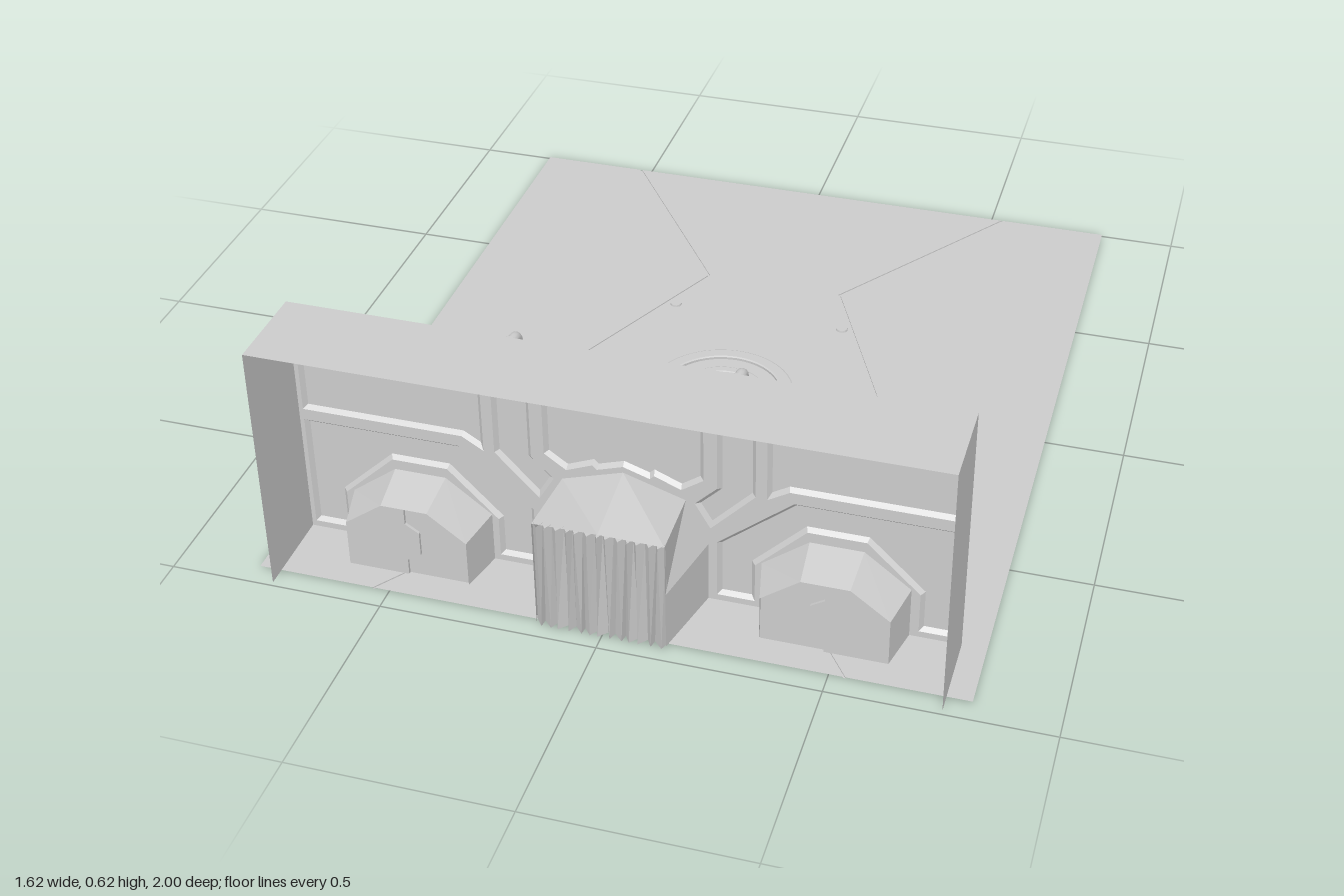
import * as THREE from 'three';

const mat = new THREE.MeshStandardMaterial({ color: 0xcccccc, side: THREE.DoubleSide, flatShading: true });
const smooth = new THREE.MeshStandardMaterial({ color: 0xcccccc });
const BACK = 0.787, PANEL = 0.777, FLOOR = 0.005;

const flipX = (pts) => pts.map(([x, y]) => [-x, y]);
const vec2 = (pts) => pts.map(([x, y]) => new THREE.Vector2(x, y));
// Closes a half outline (running from the left to x = 0) by mirroring it
const mirrored = (half) => [...half, ...flipX(half).reverse().filter(([x]) => x !== 0)];

// Ribbon of quads between two matching 3D polylines
function loft(a, b, closed = false) {
  const pos = [];
  const n = a.length;
  for (let i = 0; i < (closed ? n : n - 1); i++) {
    const j = (i + 1) % n;
    pos.push(...a[i], ...a[j], ...b[j], ...a[i], ...b[j], ...b[i]);
  }
  const g = new THREE.BufferGeometry();
  g.setAttribute('position', new THREE.Float32BufferAttribute(pos, 3));
  g.computeVertexNormals();
  return g;
}
const atZ = (pts, z) => pts.map(([x, y]) => [x, y, z]);
const atY = (pts, y) => pts.map(([x, z]) => [x, y, z]);

// Moves every edge of a closed outline inward by d
function inset(pts, d) {
  const s = THREE.ShapeUtils.isClockWise(vec2(pts)) ? -1 : 1;
  const n = pts.length;
  const dir = (p, q) => {
    const l = Math.hypot(q[0] - p[0], q[1] - p[1]);
    return [(q[0] - p[0]) / l, (q[1] - p[1]) / l];
  };
  return pts.map((p, i) => {
    const u = dir(pts[(i + n - 1) % n], p), v = dir(p, pts[(i + 1) % n]);
    const k = (s * d) / (1 + u[0] * v[0] + u[1] * v[1]);
    return [p[0] - (u[1] + v[1]) * k, p[1] + (u[0] + v[0]) * k];
  });
}

export function createModel() {
  const model = new THREE.Group();
  const add = (name, geo, parent = model, m = mat) => {
    const mesh = new THREE.Mesh(geo, m);
    mesh.name = name;
    parent.add(mesh);
    return mesh;
  };
  const face = (pts, z) => new THREE.ShapeGeometry(new THREE.Shape(vec2(pts))).translate(0, 0, z);

  // Outlines of the wall, in x and y
  const nicheOuter = mirrored([[-0.165, 0.01], [-0.165, 0.135], [-0.06, 0.215]]);
  const nicheInner = mirrored([[-0.142, 0.01], [-0.142, 0.125], [-0.054, 0.19]]);
  const archOuter = mirrored([[-0.19, 0.01], [-0.19, 0.16], [-0.14, 0.27], [0, 0.315]]);
  const archInner = mirrored([[-0.147, 0.01], [-0.147, 0.15], [-0.147, 0.28], [0, 0.282]]);
  const shift = (pts, dx) => pts.map(([x, y]) => [x + dx, y]);

  const sidePanels = [
    [[-0.745, 0.61], [-0.745, 0.338], [-0.37, 0.338], [-0.32, 0.308], [-0.32, 0.61]],
    [[-0.745, 0.31], [-0.38, 0.31], [-0.21, 0.17], [-0.21, 0.025], [-0.295, 0.025], [-0.295, 0.125],
      [-0.41, 0.24], [-0.54, 0.24], [-0.66, 0.125], [-0.66, 0.025], [-0.745, 0.025]],
    [[-0.295, 0.61], [-0.295, 0.31], [-0.195, 0.205], [-0.16, 0.265], [-0.21, 0.315], [-0.21, 0.61]],
  ];
  const centrePanel = mirrored([[-0.18, 0.61], [-0.18, 0.33], [-0.13, 0.295], [-0.07, 0.32], [-0.06, 0.31], [0, 0.33]]);
  const panels = [...sidePanels, ...sidePanels.map(flipX), centrePanel];

  // Wall sheet, cut out for the openings and the panels
  const wall = new THREE.Group();
  wall.name = 'wall';
  model.add(wall);
  const wallShape = new THREE.Shape(vec2([[-0.755, 0.62], [-0.755, 0.01], ...shift(nicheOuter, -0.475),
    ...archOuter, ...shift(nicheOuter, 0.475), [0.755, 0.01], [0.755, 0.62]]));
  panels.forEach((p) => wallShape.holes.push(new THREE.Path(vec2(p))));
  add('wallSheet', new THREE.ShapeGeometry(wallShape).translate(0, 0, BACK), wall);

  // Top and sides of the hollow wall
  const rim = [[-0.755, 0.01], [-0.755, 0.62], [0.755, 0.62], [0.755, 0.01]];
  add('wallCasing', loft(atZ(rim, BACK), atZ(rim, 1)), wall);

  // Raised panels with bevelled edges
  panels.forEach((p) => {
    const top = inset(p, 0.009);
    add('panelBevel', loft(atZ(p, BACK), atZ(top, PANEL), true), wall);
    add('panelFace', face(top, PANEL), wall);
  });

  // Tapered door niches with stepped double doors
  const seam = [[0, 0.19], [0, 0.15], [0.032, 0.13], [0.032, 0.07], [0, 0.05], [0, 0.01]];
  for (const s of [-1, 1]) {
    const niche = new THREE.Group();
    niche.name = s < 0 ? 'rightNiche' : 'leftNiche';
    niche.position.x = s * 0.475;
    model.add(niche);
    const m = (pts) => (s < 0 ? pts : flipX(pts));
    add('nicheReveal', loft(atZ(nicheOuter, BACK), atZ(nicheInner, 0.89)), niche);
    add('outerDoor', face(m([...nicheInner.slice(0, 3), ...seam]), 0.89), niche);
    add('innerDoor', face(m([...nicheInner.slice(3).reverse(), ...seam.slice().reverse()].map((p) => p)
      .sort(() => 0).length ? [...seam, ...nicheInner.slice(3).reverse()] : []), 0.883), niche);
    add('doorStep', loft(atZ(m(seam), 0.883), atZ(m(seam), 0.89)), niche);
  }

  // Central arch, closed by a pleated curtain
  add('archReveal', loft(atZ(archOuter, BACK), atZ(archInner, 0.965)));
  const pleats = 26, low = [], high = [];
  for (let i = 0; i <= pleats; i++) {
    const x = -0.147 + (0.294 * i) / pleats;
    const end = i === 0 || i === pleats;
    const z = 0.965 + (i % 2 ? 0.011 : -0.009);
    low.push([end ? x : x + 0.005 * Math.sin(i * 2.3), 0.01, z]);
    high.push([end ? x : x + 0.003 * Math.sin(i * 1.1 + 1), 0.281, z]);
  }
  add('curtain', loft(low, high));

  // Pipes: each bends out of the wall, runs along it and bends back in
  const PIPE_Z = 0.728, R = 0.0125;
  const pipeRuns = [
    [[0.72, 0.272], [0.4, 0.272], [0.25, 0.155], [0.25, 0.06]],
    [[0.25, 0.59], [0.25, 0.285], [0.2, 0.24]],
  ];
  for (const s of [-1, 1]) for (const run of pipeRuns) {
    const pipe = new THREE.Group();
    pipe.name = 'pipe';
    model.add(pipe);
    const pts = run.map(([x, y]) => new THREE.Vector3(s * x, y, PIPE_Z));
    const ends = [pts[0], pts[pts.length - 1]].map((p) => p.clone().setZ(PANEL));
    const all = [ends[0], ...pts, ends[1]];
    const path = new THREE.CurvePath();
    let from = all[0];
    for (let i = 1; i < all.length - 1; i++) {
      const c = all[i];
      const before = c.clone().add(all[i - 1].clone().sub(c).setLength(0.022));
      const after = c.clone().add(all[i + 1].clone().sub(c).setLength(0.022));
      path.add(new THREE.LineCurve3(from, before));
      path.add(new THREE.QuadraticBezierCurve3(before, c, after));
      from = after;
    }
    path.add(new THREE.LineCurve3(from, ends[1]));
    add('pipeTube', new THREE.TubeGeometry(path, 110, R, 12), pipe, smooth);
    for (const e of ends) {
      add('pipeFlange', new THREE.CylinderGeometry(0.018, 0.018, 0.012, 16).rotateX(Math.PI / 2), pipe)
        .position.set(e.x, e.y, PANEL - 0.006);
    }
  }

  // Floor in three plates, divided by two angular grooves
  const floor = new THREE.Group();
  floor.name = 'floor';
  model.add(floor);
  const line = [[0.53, -1], [0.18, -0.5], [0.4, -0.02], [0.18, 0.46], [0.535, 0.95]];
  const inner = shift(line, -0.003), outer = shift(line, 0.003);
  const plate = (name, pts) => add(name, new THREE.ShapeGeometry(
    new THREE.Shape(vec2(pts.map(([x, z]) => [x, -z])))).rotateX(-Math.PI / 2).translate(0, FLOOR, 0), floor);
  plate('centrePlate', [...inner, ...flipX(inner).reverse()]);
  for (const f of [(p) => p, flipX]) {
    plate('sidePlate', f([...outer, [0.81, 0.95], [0.81, -1]]));
    add('grooveBed', loft(atY(f(inner), 0.002), atY(f(outer), 0.002)), floor);
    for (const edge of [inner, outer]) add('grooveEdge', loft(atY(f(edge), 0.002), atY(f(edge), FLOOR)), floor);
  }

  // Raised ring in the floor, with concentric steps underneath
  const ring = (name, r0, r1, y0, y1) => add(name, new THREE.LatheGeometry(
    vec2([[r0, y0], [r1, y0], [r1, y1 - 0.002], [r1 - 0.004, y1], [r0 + 0.004, y1], [r0, y1 - 0.002], [r0, y0]]), 48), floor)
    .position.z = 0.018;
  ring('floorRing', 0.148, 0.182, 0.001, 0.013);
  ring('underRing', 0.09, 0.115, 0.002, 0.0065);

  // Floor studs
  for (const x of [-0.225, 0.225]) for (const z of [-0.34, 0.605]) {
    add('floorStud', new THREE.CylinderGeometry(0.014, 0.016, 0.01, 16), floor).position.set(x, 0.005, z);
  }
  return model;
}
